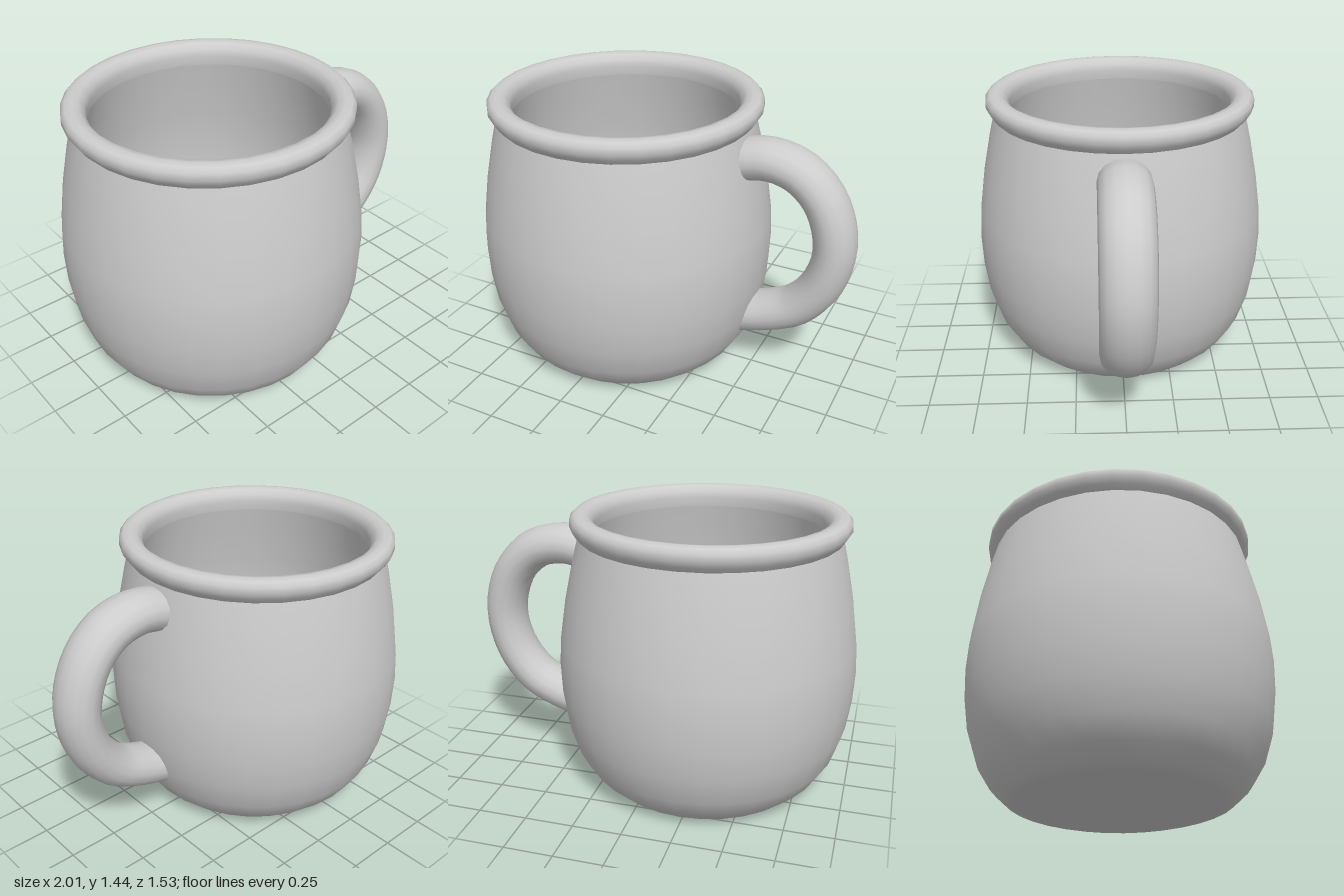
import * as THREE from 'three';

const SIDES = 32;
const BODY_X = -0.24;

export function createModel() {
  const group = new THREE.Group();
  group.name = 'mug';
  const glaze = new THREE.MeshStandardMaterial({ color: 0xcccccc });
  glaze.name = 'grey glaze';

  const add = (name, geometry, x = 0) => {
    const mesh = new THREE.Mesh(geometry, glaze);
    mesh.name = name;
    mesh.position.x = x;
    group.add(mesh);
    return mesh;
  };
  const lathe = (pairs) =>
    new THREE.LatheGeometry(pairs.map(([r, y]) => new THREE.Vector2(r, y)), SIDES);

  // Flat underside
  add('base', lathe([[0, 0], [0.5, 0]]), BODY_X);

  // Rounded outer wall up to the neck
  add('outerWall', lathe([
    [0.5, 0], [0.55, 0.015], [0.625, 0.085], [0.69, 0.19], [0.738, 0.34],
    [0.76, 0.5], [0.766, 0.66], [0.757, 0.8], [0.727, 1.0], [0.685, 1.2], [0.655, 1.32],
  ]), BODY_X);

  // Rolled lip
  add('rim', lathe([
    [0.655, 1.32], [0.675, 1.345], [0.693, 1.375], [0.692, 1.41], [0.672, 1.43], [0.64, 1.437],
    [0.607, 1.43], [0.583, 1.405], [0.574, 1.37], [0.58, 1.32],
  ]), BODY_X);

  // Inner wall and floor
  add('interior', lathe([
    [0.58, 1.32], [0.605, 1.2], [0.645, 1.0], [0.673, 0.8], [0.68, 0.62],
    [0.67, 0.45], [0.635, 0.28], [0.57, 0.16], [0.47, 0.1], [0.25, 0.085], [0, 0.085],
  ]), BODY_X);

  // Handle loop, slightly wider than it is thick, its ends set into the wall
  const path = new THREE.CatmullRomCurve3([
    [0.39, 1.185], [0.54, 1.21], [0.7, 1.17], [0.83, 1.04], [0.895, 0.82],
    [0.85, 0.6], [0.73, 0.44], [0.6, 0.37], [0.44, 0.32],
  ].map(([x, y]) => new THREE.Vector3(x, y, 0)));
  const handle = add('handle', new THREE.TubeGeometry(path, 28, 0.106, 16, false));
  handle.scale.z = 1.22;

  return group;
}
